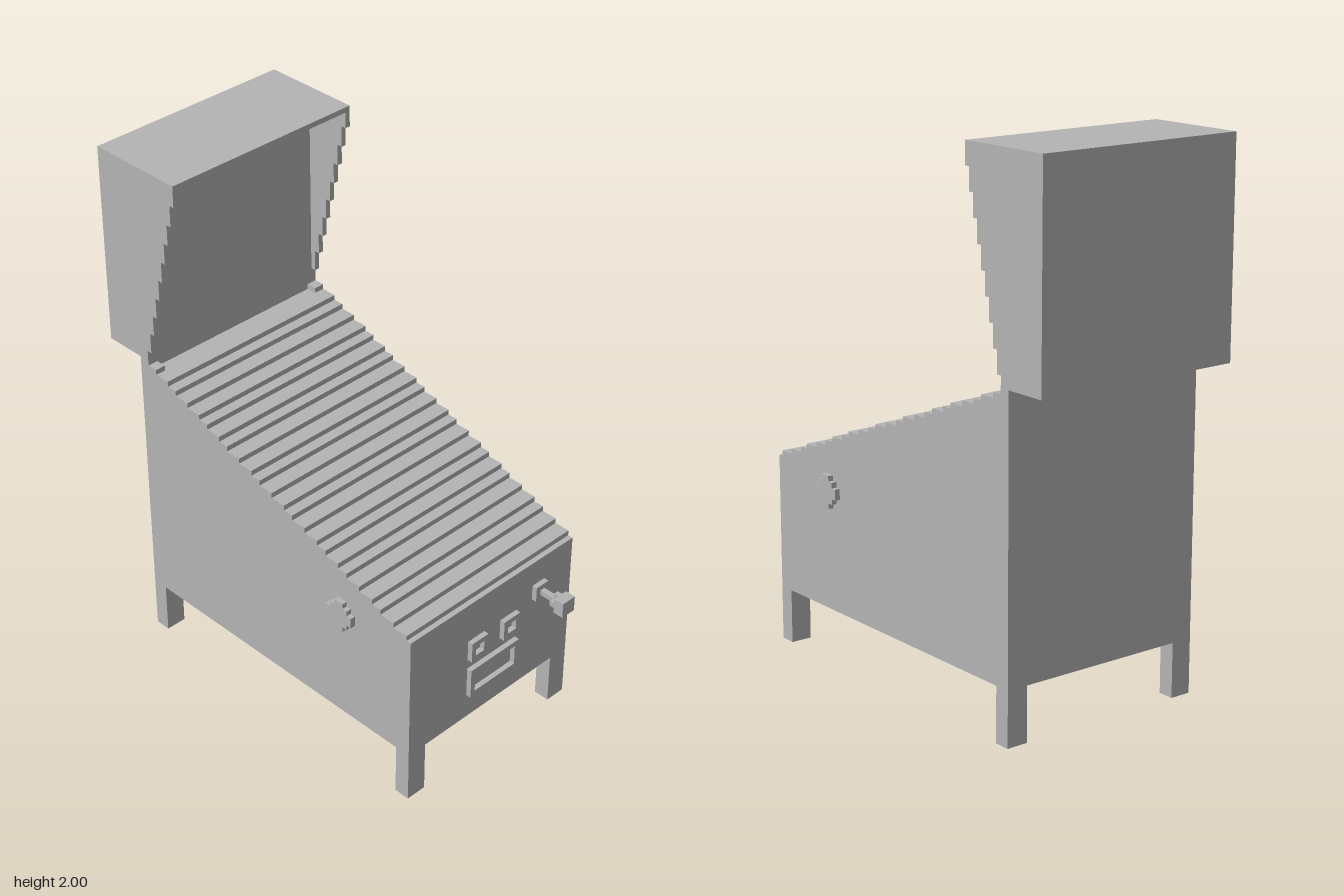
import * as THREE from 'three';

// Everything sits on a block grid: x from the centre, y from the floor,
// d counted backwards from the foremost point (81 blocks deep).
const U = 2 / 98;
const zOf = (d) => (40.5 - d) * U;

export function createModel() {
  const model = new THREE.Group();
  const grey = new THREE.MeshStandardMaterial({ color: 0xb4b4b4 });
  grey.name = 'cabinet grey';

  function add(name, geometry, parent = model) {
    const mesh = new THREE.Mesh(geometry, grey);
    mesh.name = name;
    parent.add(mesh);
    return mesh;
  }

  function block(name, x0, x1, y0, y1, d0, d1, parent) {
    const g = new THREE.BoxGeometry((x1 - x0) * U, (y1 - y0) * U, (d1 - d0) * U);
    g.translate(((x0 + x1) / 2) * U, ((y0 + y1) / 2) * U, (zOf(d0) + zOf(d1)) / 2);
    return add(name, g, parent);
  }

  // Side profile given as [d, y] points, extruded across from x0 to x1
  function sideProfile(name, points, x0, x1, parent) {
    const shape = new THREE.Shape(points.map(([d, y]) => new THREE.Vector2(zOf(d), y * U)));
    const g = new THREE.ExtrudeGeometry(shape, { depth: (x1 - x0) * U, bevelEnabled: false });
    g.rotateY(-Math.PI / 2).translate(x1 * U, 0, 0);
    return add(name, g, parent);
  }

  // Raised rectangular frame on the front panel
  function frame(name, x0, x1, y0, y1) {
    const g = new THREE.Group();
    g.name = name;
    block('frameTop', x0, x1, y1 - 1, y1, 6, 7, g);
    block('frameBottom', x0, x1, y0, y0 + 1, 6, 7, g);
    block('frameSideA', x0, x0 + 1, y0 + 1, y1 - 1, 6, 7, g);
    block('frameSideB', x1 - 1, x1, y0 + 1, y1 - 1, 6, 7, g);
    model.add(g);
  }

  // Cabinet with the stepped playfield slope
  const body = [[73, 10], [7, 10], [7, 35]];
  for (let i = 0; i < 23; i++) {
    const d = Math.round(8.3 + 2.64 * i);
    body.push([d, 35 + i], [d, 36 + i]);
  }
  body.push([71, 58], [71, 60], [73, 60]);
  sideProfile('cabinet', body, -20, 20);

  // Backbox: rear block, top overhang and stepped side cheeks
  const backbox = new THREE.Group();
  backbox.name = 'backbox';
  model.add(backbox);
  block('backboxCore', -20, 20, 60, 98, 71, 81, backbox);
  block('backboxTop', -20, 20, 97, 98, 62, 71, backbox);
  const cheek = [[71, 97], [71, 62]];
  for (let i = 0; i < 9; i++) {
    cheek.push([70 - i, 62 + 4 * i], [70 - i, i < 8 ? 66 + 4 * i : 97]);
  }

  for (const s of [-1, 1]) {
    const span = (a, b) => (s > 0 ? [a, b] : [-b, -a]);
    sideProfile('backboxCheek', cheek, ...span(19, 20), backbox);
    block('hingeBlock', ...span(18, 20), 58, 59, 69, 71);
    // Legs
    block('frontLeg', ...span(16, 20), 0, 10, 7, 10);
    block('backLeg', ...span(16, 20), 0, 10, 70, 73);
    // Round side button made of stepped blocks
    const button = [
      [20, 31], [21, 31], [21, 30], [22, 30], [22, 29], [24, 29], [24, 30], [25, 30], [25, 31], [26, 31],
      [26, 33], [25, 33], [25, 34], [24, 34], [24, 35], [22, 35], [22, 34], [21, 34], [21, 33], [20, 33],
    ];
    sideProfile('sideButton', button, ...span(20, 21));
    // Coin slots
    frame('coinSlot', ...span(2, 6), 23, 27);
  }
  frame('coinReturn', -6, 6, 15, 21);

  // Plunger: base plate, rod, collar and knob
  block('plungerBase', 10, 13, 27, 30, 6, 7);
  block('plungerRod', 11, 12, 28, 29, 3, 6);
  block('plungerCollarWide', 10, 13, 28, 29, 2, 3);
  block('plungerCollarTall', 11, 12, 27, 30, 2, 3);
  block('plungerKnob', 10, 13, 27, 30, 0, 2);

  return model;
}
